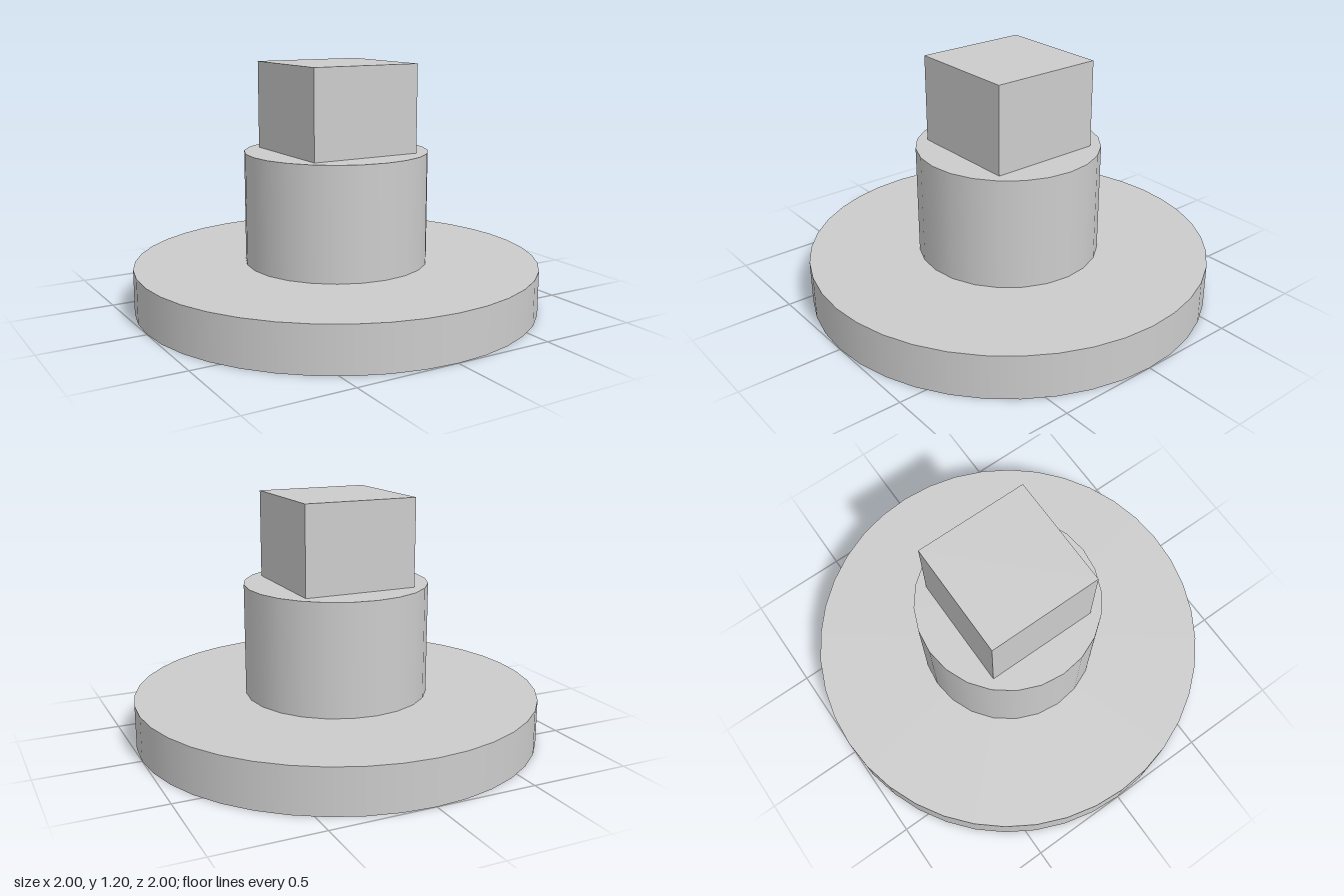
import * as THREE from 'three';

const DISC_R = 1, DISC_H = 0.22, DISC_SIDES = 40;
const HUB_R = 0.452, HUB_TOP = 0.77, HUB_SIDES = 24;
const PEG = 0.565, TOP = 1.2;
const SLOT_W = 0.22, SLOT_L = 1.46, SLOT_D = 0.08;

// Drop one material group's faces (3 = box underside, 2 = cylinder underside)
function withoutGroup(geometry, i) {
  const { start, count } = geometry.groups[i];
  const index = Array.from(geometry.index.array);
  index.splice(start, count);
  geometry.setIndex(index);
  geometry.clearGroups();
  return geometry;
}

export function createModel() {
  const grey = new THREE.MeshStandardMaterial({ color: 0xcccccc });
  grey.name = 'lightGrey';
  const model = new THREE.Group();
  model.name = 'pegOnDisc';

  const add = (name, geometry, y = 0) => {
    const mesh = new THREE.Mesh(geometry, grey);
    mesh.name = name;
    mesh.position.y = y;
    model.add(mesh);
  };

  // Cylinder side and top, open underneath
  const drum = (r, h, sides) =>
    withoutGroup(new THREE.CylinderGeometry(r, r, h, sides), 2);

  add('baseDisc', drum(DISC_R, DISC_H, DISC_SIDES), DISC_H / 2);
  add('hub', drum(HUB_R, HUB_TOP - DISC_H, HUB_SIDES), (HUB_TOP + DISC_H) / 2);

  // Square drive peg
  add('squarePeg', withoutGroup(new THREE.BoxGeometry(PEG, TOP - HUB_TOP, PEG), 3),
    (TOP + HUB_TOP) / 2);

  // Underside of the disc, pierced by the slot
  const outline = [];
  for (let i = 0; i < DISC_SIDES; i++) {
    const a = (i / DISC_SIDES) * Math.PI * 2;
    outline.push(new THREE.Vector2(Math.cos(a) * DISC_R, Math.sin(a) * DISC_R));
  }
  const underside = new THREE.Shape(outline);
  const w = SLOT_W / 2, l = SLOT_L / 2;
  underside.holes.push(new THREE.Path([
    new THREE.Vector2(-w, -l), new THREE.Vector2(-w, l),
    new THREE.Vector2(w, l), new THREE.Vector2(w, -l),
  ]));
  add('discUnderside', new THREE.ShapeGeometry(underside).rotateX(Math.PI / 2));

  // Slot recess: a box turned inside out by mirroring, open underneath
  const slot = withoutGroup(new THREE.BoxGeometry(SLOT_W, SLOT_D, SLOT_L), 3);
  slot.scale(-1, 1, 1);
  slot.computeVertexNormals();
  add('slotRecess', slot, SLOT_D / 2);

  return model;
}
